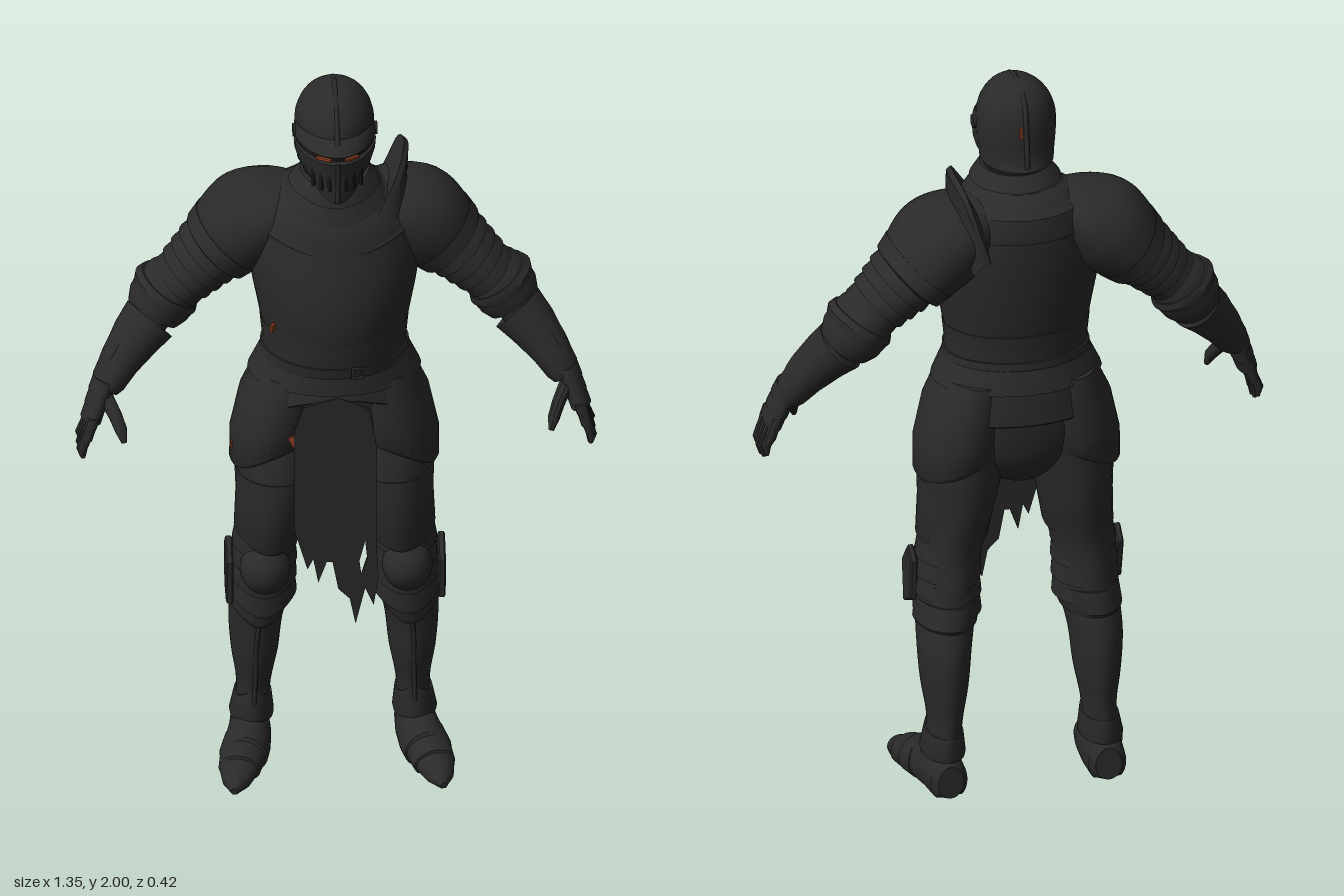
import * as THREE from 'three';
import { toCreasedNormals } from 'three/addons/utils/BufferGeometryUtils.js';

const mat = (name, color, extra = {}) => Object.assign(new THREE.MeshStandardMaterial({ color, ...extra }), { name });
const V = (x, y, z) => new THREE.Vector3(x, y, z);

// Spline through rings for smooth parts
function smoothRings(rings, per = 4) {
  const curve = k => new THREE.CatmullRomCurve3(rings.map(r => V(r[k] ?? 0, r[k + 1] ?? 0, r[k + 2] ?? 0)), false, 'catmullrom');
  const cs = [curve(0), curve(3), curve(6)], n = (rings.length - 1) * per;
  return Array.from({ length: n + 1 }, (_, i) => cs.flatMap(c => c.getPoint(i / n).toArray()));
}

// Overlapping plates: each flares, then steps back in
function lames(from, to, n, step = 0.93) {
  const out = [];
  for (let k = 0; k < n; k++) for (const [t, f] of [[k / n, step], [(k + 0.85) / n, 1], [(k + 0.98) / n, 1]])
    out.push(from.map((v, i) => (v + (to[i] - v) * t) * (i > 2 && i < 6 ? f : 1)));
  return out;
}

// Ring: [x, y, z, half width, half depth front, half depth back, front dip, outer dip]
function loft(rings, { s = 1, pz = 1, seg = 32, crease = 0.6 } = {}) {
  const pos = [], idx = [], n = rings.length, c = rings.map(r => V(r[0] * s, r[1], r[2]));
  rings.forEach(([, , , a, f, b, dip = 0, out = 0], i) => {
    const t = c[Math.min(i + 1, n - 1)].clone().sub(c[Math.max(i - 1, 0)]).normalize();
    if (Math.abs(t.y) > 0.93) t.set(0, Math.sign(t.y), 0);
    const v = Math.abs(t.z) > 0.8 ? V(0, 1, 0) : V(0, 0, 1);
    v.addScaledVector(t, -v.dot(t)).normalize();
    const u = t.clone().cross(v);
    for (let j = 0; j < seg; j++) {
      const co = Math.cos(j / seg * 2 * Math.PI), si = Math.sin(j / seg * 2 * Math.PI);
      const d = si > 0 ? f * si ** pz : b * si;
      const p = c[i].clone().addScaledVector(u, a * co).addScaledVector(v, d);
      p.y -= dip * Math.max(0, si) ** 3 + out * s * co;
      pos.push(p.x, Math.max(0, p.y), p.z);
    }
  });
  for (let i = 0; i < n - 1; i++) for (let j = 0; j < seg; j++) {
    const k = (j + 1) % seg, A = i * seg + j, B = i * seg + k;
    idx.push(A, A + seg, B, B, A + seg, B + seg);
  }
  pos.push(...c[0].toArray(), ...c[n - 1].toArray());
  for (let j = 0; j < seg; j++) {
    const k = (j + 1) % seg, e = (n - 1) * seg;
    idx.push(n * seg, j, k, n * seg + 1, e + k, e + j);
  }
  const g = new THREE.BufferGeometry();
  g.setAttribute('position', new THREE.Float32BufferAttribute(pos, 3));
  g.setIndex(idx);
  return toCreasedNormals(g, crease);
}

export function createModel() {
  const root = new THREE.Group();
  root.name = 'armouredKnight';
  const iron = mat('blackened iron', 0x2a2a2a), dark = mat('dark recess', 0x171717);
  const cloth = mat('charred cloth', 0x272727, { side: THREE.DoubleSide });
  const ember = mat('ember', 0x8c3c22), plate = mat('iron plate', 0x2a2a2a, { side: THREE.DoubleSide });
  const add = (name, geo, m = iron, p = [0, 0, 0], r = [0, 0, 0]) => {
    const o = new THREE.Mesh(geo, m);
    o.name = name; o.position.set(...p); o.rotation.set(...r);
    root.add(o);
    return o;
  };
  const box = (w, h, d) => new THREE.BoxGeometry(w, h, d);
  const tube = (pts, r) => new THREE.TubeGeometry(new THREE.CatmullRomCurve3(pts.map(p => V(...p))), 32, r, 8);

  // Helmet
  add('helmetSkull', loft(smoothRings([[0, 1.77, 0, .096, .09, .118], [0, 1.8, 0, .099, .1, .107], [0, 1.86, 0, .104, .134, .105],
    [0, 1.91, 0, .1, .132, .1], [0, 1.95, 0, .083, .107, .086], [0, 1.978, 0, .056, .072, .058], [0, 1.992, 0, .02, .028, .024], [0, 1.994, 0, .003, .003, .003]]), { pz: 1.1 }));
  add('visor', loft([[0, 1.765, .03, .08, .133, .06, .052], [0, 1.79, .03, .097, .138, .08, .03], [0, 1.815, .03, .105, .144, .07],
    [0, 1.838, .03, .107, .152, .06], [0, 1.842, .03, .1, .14, .06]], { pz: 1.3 }));
  add('brow', loft([[0, 1.852, .03, .1, .13, .06], [0, 1.856, .03, .107, .145, .06], [0, 1.875, .03, .106, .128, .06], [0, 1.89, .03, .1, .105, .06]], { pz: 1.3 }));
  add('eyeSlit', loft([[0, 1.835, .03, .102, .138, .05], [0, 1.858, .03, .102, .138, .05]], { pz: 1.3 }), dark);
  add('helmetCrest', tube([[0, 1.87, .15], [0, 1.952, .1], [0, 1.991, .01], [0, 1.95, -.086], [0, 1.87, -.104], [0, 1.78, -.114]], .007));
  add('crestPoint', new THREE.ConeGeometry(.012, .03, 8), iron, [0, 1.985, 0]);
  add('visorRidge', tube([[0, 1.845, .182], [0, 1.79, .17], [0, 1.718, .163]], .006));
  for (const s of [-1, 1]) {
    add('emberEye', box(.042, .007, .008), ember, [s * .036, 1.848, .162], [0, s * .55, 0]);
    for (const x of [.022, .042, .062]) {
      const z = .03 + .139 * (1 - (x / .1) ** 2) ** .65;
      add('breathSlot', box(.007, .055, .008), dark, [s * x, 1.783, z], [-.12, s * (.3 + x * 8), 0]);
    }
    add('visorPivot', new THREE.CylinderGeometry(.018, .018, .008, 16), iron, [s * .106, 1.865, .03], [0, 0, Math.PI / 2]);
  }
  add('helmetEmber', box(.008, .03, .006), ember, [.015, 1.88, -.104]);

  // Neck and body
  add('neck', loft([[0, 1.66, .01, .085, .1, .09], [0, 1.8, .01, .08, .09, .085]]), dark);
  add('gorget', loft(lames([0, 1.745, .015, .095, .115, .1, .01], [0, 1.63, 0, .17, .16, .165, .045], 3, .95)));
  add('cuirass', loft(smoothRings([[0, 1.19, 0, .175, .165, .13], [0, 1.25, 0, .182, .18, .135], [0, 1.35, 0, .2, .198, .155], [0, 1.45, 0, .218, .194, .17],
    [0, 1.55, 0, .222, .172, .178], [0, 1.63, 0, .2, .15, .175], [0, 1.69, -.01, .13, .11, .13], [0, 1.71, -.01, .05, .06, .07]])));
  add('chestCollar', loft([[0, 1.595, 0, .215, .165, .184, .055], [0, 1.605, 0, .217, .17, .185, .05], [0, 1.66, -.01, .18, .145, .165, .02], [0, 1.69, -.01, .12, .11, .13]]));
  add('waistPlate', loft([[0, 1.2, 0, .19, .176, .14], [0, 1.25, 0, .188, .187, .142], [0, 1.31, 0, .194, .195, .15, -.05], [0, 1.315, 0, .18, .18, .14, -.05]]));
  add('belt', loft([[0, 1.205, 0, .196, .184, .15], [0, 1.235, 0, .193, .19, .148]]));
  add('beltBuckle', new THREE.TorusGeometry(.019, .005, 6, 4), iron, [.05, 1.225, .188], [0, .15, Math.PI / 4]);
  add('pelvis', loft(smoothRings([[0, .87, 0, .08, .08, .09], [0, .95, 0, .19, .13, .135], [0, 1.08, 0, .215, .145, .15], [0, 1.2, 0, .185, .15, .14]])));
  add('fauld', loft([[0, 1.06, 0, .242, .168, .165, -.07], [0, 1.065, 0, .248, .174, .17, -.07], [0, 1.13, 0, .225, .172, .166, -.02], [0, 1.15, 0, .218, .172, .164], [0, 1.152, 0, .226, .18, .17], [0, 1.215, 0, .195, .178, .152]]));

  // Torn hanging cloth
  const rag = new THREE.Shape([[-.115, 1.05], [-.09, 1.12], [0, 1.145], [.08, 1.11], [.1, 1], [.1, .7], [.105, .61], [.092, .53], [.07, .58], [.045, .475], [.03, .55],
    [0, .58], [-.015, .66], [-.03, .66], [-.052, .6], [-.065, .67], [-.08, .64], [-.115, .76]].map(p => new THREE.Vector2(...p)));
  rag.holes.push(new THREE.Path([[.06, .62], [.075, .67], [.07, .72], [.055, .66]].map(p => new THREE.Vector2(...p))));
  add('tabardCloth', new THREE.ExtrudeGeometry(rag, { depth: .008, bevelEnabled: false }), cloth, [0, 0, .168]);
  add('clothEmber', box(.02, .03, .006), ember, [-.115, 1.02, .173], [0, 0, .5]);
  add('sideEmber', box(.006, .02, .03), ember, [-.165, 1.33, .118], [0, -.5, 0]);
  add('hipEmber', box(.006, .025, .025), ember, [-.268, .94, .03]);

  for (const s of [-1, 1]) {
    const L = (name, rings, o = {}, m = iron) => add(name, loft(rings, { s, ...o }), m);

    // Hip plate over the thigh
    L('tasset', [[.155, .93, 0, .113, .135, .14, -.02, .05], [.155, .94, 0, .118, .142, .147, -.02, .05], [.155, 1, 0, .117, .148, .152, -.02, .03], [.14, 1.08, 0, .108, .15, .155], [.12, 1.17, 0, .085, .14, .145]]);
    // Leg
    L('thigh', smoothRings([[.14, .98, 0, .118, .125, .135], [.15, .88, .005, .108, .137, .135], [.158, .78, .01, .094, .132, .132], [.175, .67, .01, .083, .1, .112], [.183, .58, 0, .076, .09, .107]]));
    L('thighPlate', [[.17, .685, .015, .088, .112, .1, .03], [.17, .695, .015, .092, .118, .106, .03], [.158, .8, .01, .099, .138, .128], [.152, .87, .01, .108, .136, .125]]);
    L('greave', smoothRings([[.185, .58, 0, .076, .08, .105], [.192, .5, 0, .078, .07, .11], [.203, .4, -.03, .07, .083, .107], [.205, .3, -.04, .061, .084, .1], [.207, .2, -.05, .045, .07, .08], [.212, .11, -.055, .045, .075, .075]]));
    L('kneeLames', lames([.18, .69, .01, .084, .11, .105, 0], [.187, .49, 0, .089, .09, .11, .04], 4, .94));
    L('greaveTop', [[.195, .46, -.005, .078, .075, .115, .05], [.195, .47, -.005, .083, .082, .12, .05], [.188, .53, 0, .082, .082, .112, .03]]);
    add('kneeCop', new THREE.SphereGeometry(1, 24, 16).scale(.066, .072, .07), iron, [s * .185, .6, .085]);
    const wing = new THREE.Shape([[-.035, -.08], [.03, -.055], [.045, .05], [.01, .08], [-.04, .03]].map(p => new THREE.Vector2(...p)));
    add('kneeWing', new THREE.ExtrudeGeometry(wing, { depth: .012, bevelSize: .005, bevelThickness: .004, bevelSegments: 1 }).translate(0, 0, -.006), iron, [s * .276, .575, .035], [0, Math.PI / 2, s * .08]);
    add('greaveRidge', tube([[s * .195, .46, .078], [s * .204, .36, .052], [s * .206, .25, .032], [s * .21, .13, .02]], .006));
    L('ankleCuff', [[.212, .1, -.05, .056, .08, .085, -.01], [.212, .11, -.05, .058, .082, .087, -.01], [.209, .165, -.05, .049, .072, .08, -.03]]);
    // Foot
    L('sabaton', [[.212, .04, -.138, .035, .05, .04], [.213, .04, -.12, .05, .07, .06], [.216, .04, -.05, .055, .09, .06], [.226, .04, .02, .06, .08, .06], [.228, .04, .022, .062, .072, .06], [.24, .035, .07, .064, .058, .05],
      [.242, .035, .072, .06, .05, .05], [.254, .025, .125, .055, .044, .04], [.256, .025, .127, .051, .036, .04], [.265, .015, .175, .036, .028, .03], [.272, .01, .215, .008, .008, .015]]);

    // Shoulder and upper arm
    L('pauldron', smoothRings([[.1, 1.64, -.03, .055, .1, .1], [.15, 1.612, -.035, .092, .13, .14], [.215, 1.572, -.04, .122, .135, .16], [.265, 1.525, -.045, .115, .125, .155], [.3, 1.49, -.045, .098, .11, .145]]));
    L('pauldronRim', [[.275, 1.515, -.045, .113, .125, .155], [.305, 1.485, -.045, .104, .118, .15], [.31, 1.48, -.045, .09, .1, .13]]);
    L('shoulderLames', lames([.285, 1.51, -.045, .104, .116, .142], [.41, 1.385, -.04, .076, .09, .095], 5, .92));
    L('elbowJoint', smoothRings([[.37, 1.425, -.04, .06, .075, .08], [.43, 1.365, -.045, .062, .078, .08], [.5, 1.27, -.01, .052, .06, .06]]));
    // Elbow cop with fan
    L('elbowCop', [[.395, 1.405, -.045, .062, .08, .085], [.415, 1.385, -.045, .078, .09, .097], [.435, 1.355, -.045, .088, .095, .1], [.455, 1.325, -.04, .085, .09, .095], [.47, 1.3, -.035, .072, .078, .08]]);
    L('elbowRim', [[.425, 1.375, -.045, .086, .097, .102], [.435, 1.36, -.045, .094, .1, .106], [.445, 1.345, -.045, .086, .095, .1]]);
    // Gauntlet
    L('gauntletCuff', [[.475, 1.292, -.02, .058, .062, .062], [.478, 1.29, -.02, .074, .076, .074], [.515, 1.25, 0, .066, .068, .066], [.56, 1.19, .025, .052, .058, .056], [.59, 1.145, .045, .045, .055, .053], [.6, 1.13, .05, .037, .05, .048]]);
    L('cuffPoint', smoothRings([[.528, 1.335, -.01, .006, .012, .012], [.545, 1.285, 0, .017, .04, .04], [.585, 1.215, .025, .02, .04, .04], [.615, 1.15, .045, .014, .03, .03]]));
    L('handBack', lames([.6, 1.155, .05, .033, .052, .05], [.638, 1.05, .075, .027, .055, .053], 3, .94));
    for (let i = 0; i < 4; i++) {
      const z = .035 + i * .027, low = [.02, .005, 0, .012][i];
      L('finger', lames([.632, 1.075, z, .018, .016, .016], [.652, 1.01, z + .003, .016, .0145, .0145], 2), { seg: 10 });
      L('fingerTip', [[.652, 1.015, z + .003, .015, .014, .014], [.662, .975 + low, z + .003, .014, .013, .013], [.66, .948 + low, z + .002, .006, .006, .006]], { seg: 10 });
    }
    L('thumb', [[.6, 1.12, .08, .02, .02, .02], [.575, 1.08, .12, .018, .018, .018], [.562, 1.05, .143, .016, .016, .016], [.555, 1.02, .155, .007, .007, .007]], { seg: 10 });
  }

  // Raised neck guard on the left shoulder
  const base = new THREE.CatmullRomCurve3([V(.075, 1.6, .14), V(.12, 1.655, .075), V(.14, 1.68, -.04), V(.135, 1.66, -.14), V(.12, 1.56, -.195)]);
  const guard = new THREE.BufferGeometry(), gp = [], gi = [], N = 24;
  for (let i = 0; i <= N; i++) {
    const p = base.getPoint(i / N), h = Math.sin(i / N * Math.PI) ** .7;
    const q = p.clone().add(V(.045 * h, .09 * h, -.02 * h)), e = q.clone().add(V(.012, -.012 * h, 0)), b = p.clone().add(V(.05, -.03, 0));
    [p, q, e, b].forEach(w => gp.push(...w.toArray()));
    if (i < N) for (let k = 0; k < 3; k++) gi.push(i * 4 + k, i * 4 + k + 4, i * 4 + k + 1, i * 4 + k + 1, i * 4 + k + 4, i * 4 + k + 5);
  }
  guard.setAttribute('position', new THREE.Float32BufferAttribute(gp, 3));
  guard.setIndex(gi);
  add('neckGuard', toCreasedNormals(guard, .6), plate);
  return root;
}
